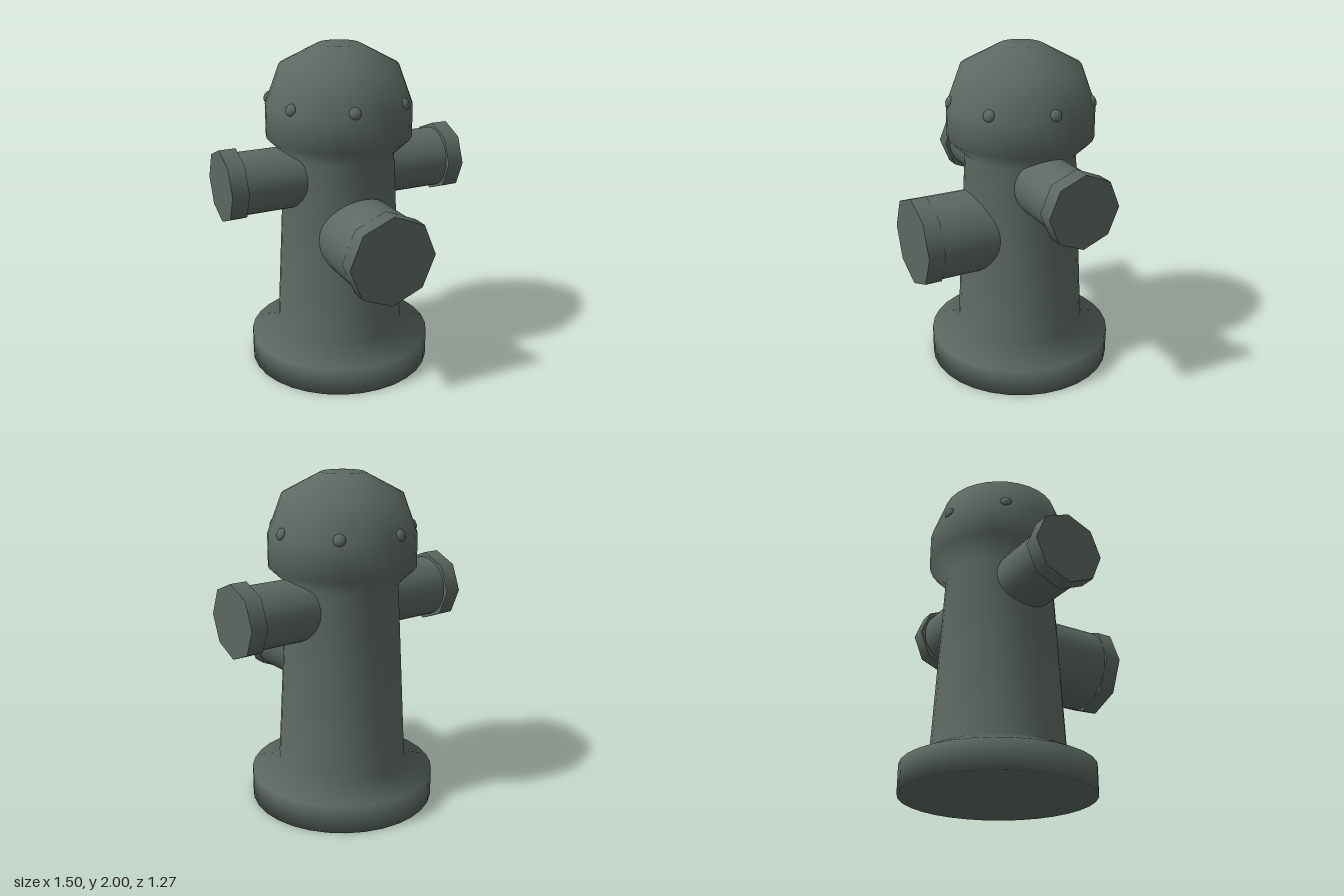
import * as THREE from 'three';

export function createModel() {
  const model = new THREE.Group();
  model.name = 'fireHydrant';
  const material = new THREE.MeshStandardMaterial({ color: 0x5c6862 });
  const axisZ = -0.073; // the barrel sits slightly behind the centre

  const add = (name, geometry, parent) => {
    const mesh = new THREE.Mesh(geometry, material);
    mesh.name = name;
    parent.add(mesh);
    return mesh;
  };

  // Foot flange, tapered barrel and domed bonnet in one turned profile
  const profile = [
    [0, 0], [0.5625, 0], [0.5625, 0.17], [0.393, 0.25], [0.333, 1.36],
    [0.437, 1.46], [0.437, 1.65], [0.352, 1.88], [0.125, 2], [0, 2],
  ].map(([r, y]) => new THREE.Vector2(r, y));
  add('body', new THREE.LatheGeometry(profile, 32), model).position.z = axisZ;

  // Outlet: round pipe with an octagonal cap, built along +z and then turned
  const addOutlet = (name, y, angle, pipeRadius, capRadius, reach) => {
    const outlet = new THREE.Group();
    outlet.name = name;
    const capDepth = 0.1;
    const pipeLength = reach - capDepth;
    const pipe = new THREE.CylinderGeometry(pipeRadius, pipeRadius, pipeLength, 32);
    pipe.rotateX(Math.PI / 2).translate(0, 0, pipeLength / 2);
    add(name + 'Pipe', pipe, outlet);
    const cap = new THREE.CylinderGeometry(capRadius, capRadius, capDepth, 8);
    cap.rotateX(Math.PI / 2).translate(0, 0, reach - capDepth / 2);
    add(name + 'Cap', cap, outlet);
    outlet.position.set(0, y, axisZ);
    outlet.rotation.y = angle;
    model.add(outlet);
  };
  addOutlet('frontOutlet', 0.9, 0, 0.25, 0.27, 0.708);
  addOutlet('leftOutlet', 1.235, Math.PI / 2, 0.185, 0.216, 0.75);
  addOutlet('rightOutlet', 1.235, -Math.PI / 2, 0.185, 0.216, 0.75);

  // Seven rounded bolts around the bonnet
  const boltGeometry = new THREE.SphereGeometry(0.035, 12, 8).scale(0.6, 1, 1);
  for (let i = 0; i < 7; i++) {
    const a = (i / 7) * Math.PI * 2;
    const bolt = add('bolt' + (i + 1), boltGeometry, model);
    bolt.position.set(Math.cos(a) * 0.422, 1.685, axisZ - Math.sin(a) * 0.422);
    bolt.rotation.set(0, a, 0.36);
  }

  return model;
}
